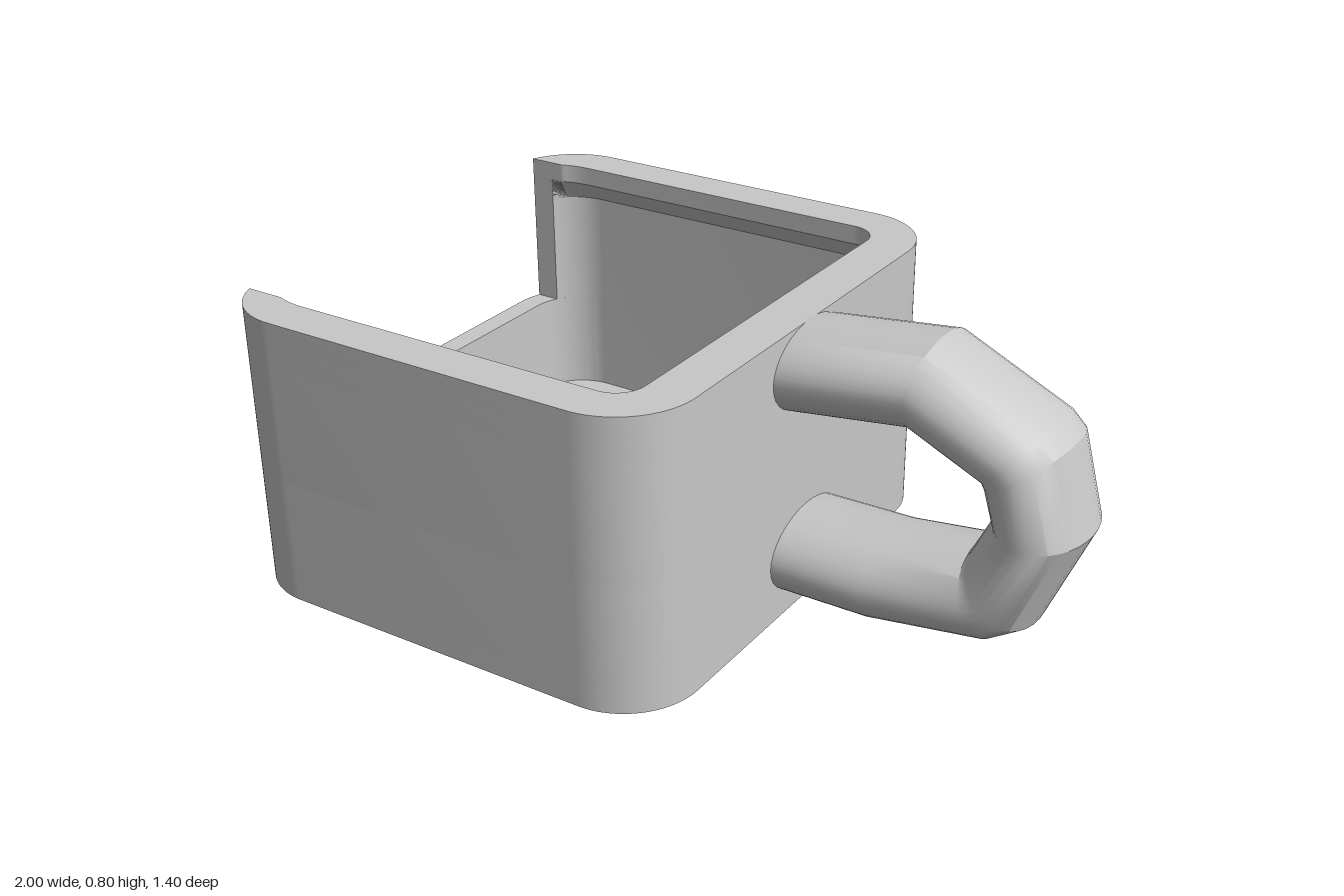
import * as THREE from 'three';
import { toCreasedNormals } from 'three/addons/utils/BufferGeometryUtils.js';

const PI = Math.PI;

// Corner centres of the plan and radii of the concentric outer wall, cavity and rim opening
const X0 = -0.8, X1 = 0.06, Z = 0.5;
const OUTER = 0.2, CAVITY = 0.14, OPENING = 0.075;

// Rounded rectangle around the corner centres; the second plan axis runs along z
function roundedRect(path, r) {
  path.absarc(X0, -Z, r, PI, 1.5 * PI);
  path.absarc(X1, -Z, r, 1.5 * PI, 2 * PI);
  path.absarc(X1, Z, r, 0, PI / 2);
  path.absarc(X0, Z, r, PI / 2, PI);
  path.closePath();
  return path;
}

// Three-sided wall, cut away towards -x where |z| < 0.57
function wallShape() {
  const s = new THREE.Shape();
  const a = PI - Math.asin(0.07 / OUTER), b = PI - Math.asin(0.07 / CAVITY);
  s.absarc(X0, -Z, OUTER, -a, -PI / 2);
  s.absarc(X1, -Z, OUTER, -PI / 2, 0);
  s.absarc(X1, Z, OUTER, 0, PI / 2);
  s.absarc(X0, Z, OUTER, PI / 2, a);
  s.absarc(X0, Z, CAVITY, b, PI / 2, true);
  s.absarc(X1, Z, CAVITY, PI / 2, 0, true);
  s.absarc(X1, -Z, CAVITY, 0, -PI / 2, true);
  s.absarc(X0, -Z, CAVITY, -PI / 2, -b, true);
  s.closePath();
  return s;
}

// Horizontal slab of a plan shape between two heights
function slab(shape, y0, y1) {
  const g = new THREE.ExtrudeGeometry(shape, { depth: y1 - y0, bevelEnabled: false, curveSegments: 14 });
  return g.rotateX(-PI / 2).translate(0, y0, 0);
}

// Move the cavity side of a wall slab inwards to the rim opening, for all points above minY
function overhang(g, minY) {
  const p = g.attributes.position, k = OPENING / CAVITY;
  for (let i = 0; i < p.count; i++) {
    const x = p.getX(i), z = p.getZ(i), az = Math.abs(z);
    const dx = Math.max(x - X1, X0 - x, 0), dz = Math.max(az - Z, 0);
    if (p.getY(i) < minY || Math.hypot(dx, dz) > 0.15) continue;
    const inset = Z + 0.01 + (az - Z) * k;
    p.setZ(i, Math.sign(z) * (x < 0 ? Math.max(0.57, inset) : inset));
    if (x > X1) p.setX(i, X1 + (x - X1) * k);
  }
  return g;
}

// Elliptical loop handle: each station is outer x, y, inner x, y
function handleGeometry() {
  const stations = [
    [0.23, 0.758, 0.23, 0.535],
    [0.605, 0.8, 0.575, 0.58],
    [0.9, 0.66, 0.748, 0.5],
    [0.942, 0.62, 0.75, 0.49],
    [1.0, 0.4, 0.775, 0.41],
    [0.89, 0.14, 0.722, 0.3],
    [0.81, 0.09, 0.718, 0.293],
    [0.5, 0.047, 0.5, 0.268],
    [0.23, 0.047, 0.23, 0.265],
  ];
  const n = 32, pos = [], idx = [];
  stations.forEach(([ox, oy, ix, iy], k) => {
    for (let j = 0; j < n; j++) {
      const t = (j / n) * 2 * PI, c = Math.cos(t) / 2;
      pos.push((ox + ix) / 2 + (ox - ix) * c, (oy + iy) / 2 + (oy - iy) * c, 0.172 * Math.sin(t));
      if (k === 0) continue;
      const a = (k - 1) * n + j, b = (k - 1) * n + ((j + 1) % n);
      idx.push(a, b, b + n, a, b + n, a + n);
    }
  });
  const g = new THREE.BufferGeometry();
  g.setAttribute('position', new THREE.Float32BufferAttribute(pos, 3));
  g.setIndex(idx);
  return toCreasedNormals(g, 0.5);
}

export function createModel() {
  const group = new THREE.Group();
  const grey = new THREE.MeshStandardMaterial({ color: 0xc8c8c8, side: THREE.DoubleSide });
  grey.name = 'light grey';

  const add = (name, geometry) => {
    const mesh = new THREE.Mesh(geometry, grey);
    mesh.name = name;
    group.add(mesh);
  };
  const crease = (g) => toCreasedNormals(g, 0.6);

  // Base with a round recess under each corner
  const base = roundedRect(new THREE.Shape(), OUTER);
  for (const x of [X0, X1]) for (const z of [-Z, Z]) {
    base.holes.push(new THREE.Path().absarc(x, z, 0.1, 0, 2 * PI, true));
  }
  add('recessedBase', crease(slab(base, 0, 0.03)));
  add('floor', crease(slab(roundedRect(new THREE.Shape(), OUTER), 0.03, 0.06)));

  // Closed lower wall
  const ring = roundedRect(new THREE.Shape(), OUTER);
  ring.holes.push(roundedRect(new THREE.Path(), CAVITY));
  add('lowerWall', crease(slab(ring, 0.06, 0.335)));

  // Upper wall, sloping inwards to a thicker rim
  add('upperWall', crease(slab(wallShape(), 0.335, 0.65)));
  add('rimSlope', crease(overhang(slab(wallShape(), 0.65, 0.71), 0.7)));
  add('rim', crease(overhang(slab(wallShape(), 0.71, 0.76), 0.7)));

  add('handle', handleGeometry());
  return group;
}
